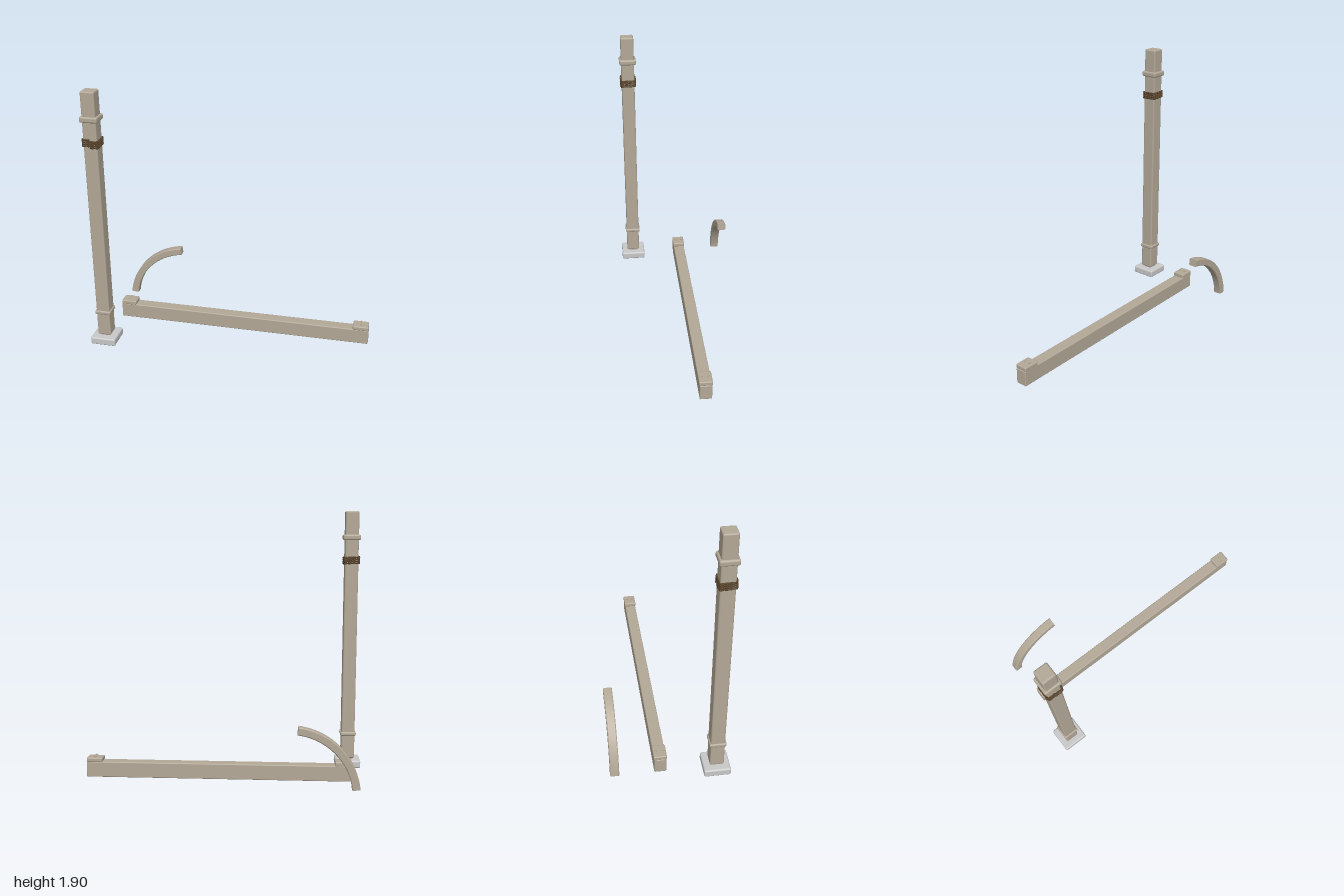
import * as THREE from 'three';
import { toCreasedNormals } from 'three/addons/utils/BufferGeometryUtils.js';
import { RoundedBoxGeometry } from 'three/addons/geometries/RoundedBoxGeometry.js';

const material = (name, color) => {
  const m = new THREE.MeshStandardMaterial({ color });
  m.name = name;
  return m;
};

export function createModel() {
  const wood = material('weathered wood', 0xb3a897);
  const stone = material('pale stone', 0xc8c8c8);
  const rope = material('brown rope', 0x5a452c);
  const model = new THREE.Group();

  const add = (parent, name, geometry, mat, x = 0, y = 0, z = 0) => {
    const mesh = new THREE.Mesh(geometry, mat);
    mesh.name = name;
    mesh.position.set(x, y, z);
    parent.add(mesh);
    return mesh;
  };
  const block = (parent, name, mat, size, pos, radius) =>
    add(parent, name, new RoundedBoxGeometry(...size, 3, radius), mat, ...pos);

  // Standing post on a stone foot
  const post = new THREE.Group();
  post.name = 'post';
  post.position.set(-0.906, 0, 0.317);
  model.add(post);
  block(post, 'footStone', stone, [0.186, 0.057, 0.186], [0, 0.0405, 0], 0.012);
  block(post, 'tenon', wood, [0.075, 0.04, 0.075], [0, 0.075, 0], 0.004);
  block(post, 'postShaft', wood, [0.098, 1.837, 0.098], [0, 0.9955, 0], 0.011);
  block(post, 'upperCollar', wood, [0.126, 0.04, 0.126], [0, 1.725, 0], 0.012);
  block(post, 'lowerCollar', wood, [0.116, 0.029, 0.116], [0, 0.264, 0], 0.01);

  // Rope binding: two twisted strands wound round the square post
  const binding = new THREE.Group();
  binding.name = 'ropeBinding';
  post.add(binding);
  const turns = 4, perTurn = 48, half = 0.0535, rise = 0.0135, twists = 12;
  for (const phase of [0, Math.PI]) {
    const points = [];
    for (let i = 0; i <= turns * perTurn; i++) {
      const t = i / perTurn, a = t * Math.PI * 2, w = t * twists * Math.PI * 2 / 2 + phase;
      const c = Math.cos(a), s = Math.sin(a);
      // superellipse radius gives a square loop with tight corners
      const r = half / Math.pow(Math.abs(c) ** 14 + Math.abs(s) ** 14, 1 / 14) + 0.0035 * Math.cos(w);
      points.push(new THREE.Vector3(s * r, 1.533 + t * rise + 0.0035 * Math.sin(w), c * r));
    }
    const path = new THREE.CatmullRomCurve3(points);
    add(binding, 'ropeStrand', new THREE.TubeGeometry(path, 400, 0.0052, 6), rope);
  }

  // Lying beam with a pegged pad at each end
  const beam = new THREE.Group();
  beam.name = 'beam';
  beam.position.set(0.045, 0, -0.065);
  model.add(beam);
  block(beam, 'beamBody', wood, [1.9, 0.113, 0.084], [0, 0.0675, 0], 0.007);
  for (const side of [-1, 1]) {
    block(beam, 'endPad', wood, [0.115, 0.032, 0.092], [side * 0.891, 0.137, 0], 0.008);
    for (const z of [-0.022, 0.022]) {
      add(beam, 'peg', new THREE.CylinderGeometry(0.005, 0.005, 0.014, 10), wood, side * 0.891, 0.155, z);
      add(beam, 'pegHead', new THREE.CylinderGeometry(0.007, 0.008, 0.006, 10), wood, side * 0.891, 0.161, z);
    }
  }

  // Curved brace: a chamfered bar bent round an arc
  const t = 0.0275, d = 0.031, b = 0.006;
  const section = new THREE.Shape([
    [-t + b, -d], [t - b, -d], [t, -d + b], [t, d - b],
    [t - b, d], [-t + b, d], [-t, d - b], [-t, -d + b],
  ].map(([x, y]) => new THREE.Vector2(x, y)));
  const bar = new THREE.ExtrudeGeometry(section, { depth: 1, steps: 28, bevelEnabled: false });
  const pos = bar.attributes.position;
  const start = THREE.MathUtils.degToRad(97), end = THREE.MathUtils.degToRad(173.5);
  for (let i = 0; i < pos.count; i++) {
    const a = start + (end - start) * pos.getZ(i), r = 0.455 + pos.getX(i), z = pos.getY(i);
    pos.setXYZ(i, Math.cos(a) * r, Math.sin(a) * r, -z);
  }
  bar.computeVertexNormals();
  // keep the faces outward whichever way the bend turned them
  const p = [0, 1, 2].map((i) => new THREE.Vector3().fromBufferAttribute(pos, i));
  const normal = p[1].clone().sub(p[0]).cross(p[2].clone().sub(p[0]));
  const atStart = Math.abs(Math.atan2(p[0].y, p[0].x) - start) < 0.01;
  const outward = new THREE.Vector3(Math.sin(start), -Math.cos(start), 0).multiplyScalar(atStart ? 1 : -1);
  if (atStart ? normal.dot(outward) < 0 : normal.dot(new THREE.Vector3(-Math.sin(end), Math.cos(end), 0)) < 0) {
    for (let i = 0; i < pos.count; i += 3) {
      const v = new THREE.Vector3().fromBufferAttribute(pos, i + 1);
      pos.setXYZ(i + 1, pos.getX(i + 2), pos.getY(i + 2), pos.getZ(i + 2));
      pos.setXYZ(i + 2, v.x, v.y, v.z);
    }
  }
  bar.deleteAttribute('normal');
  add(model, 'curvedBrace', toCreasedNormals(bar, 0.5), wood, -0.46, -0.0035, -0.381);

  return model;
}
